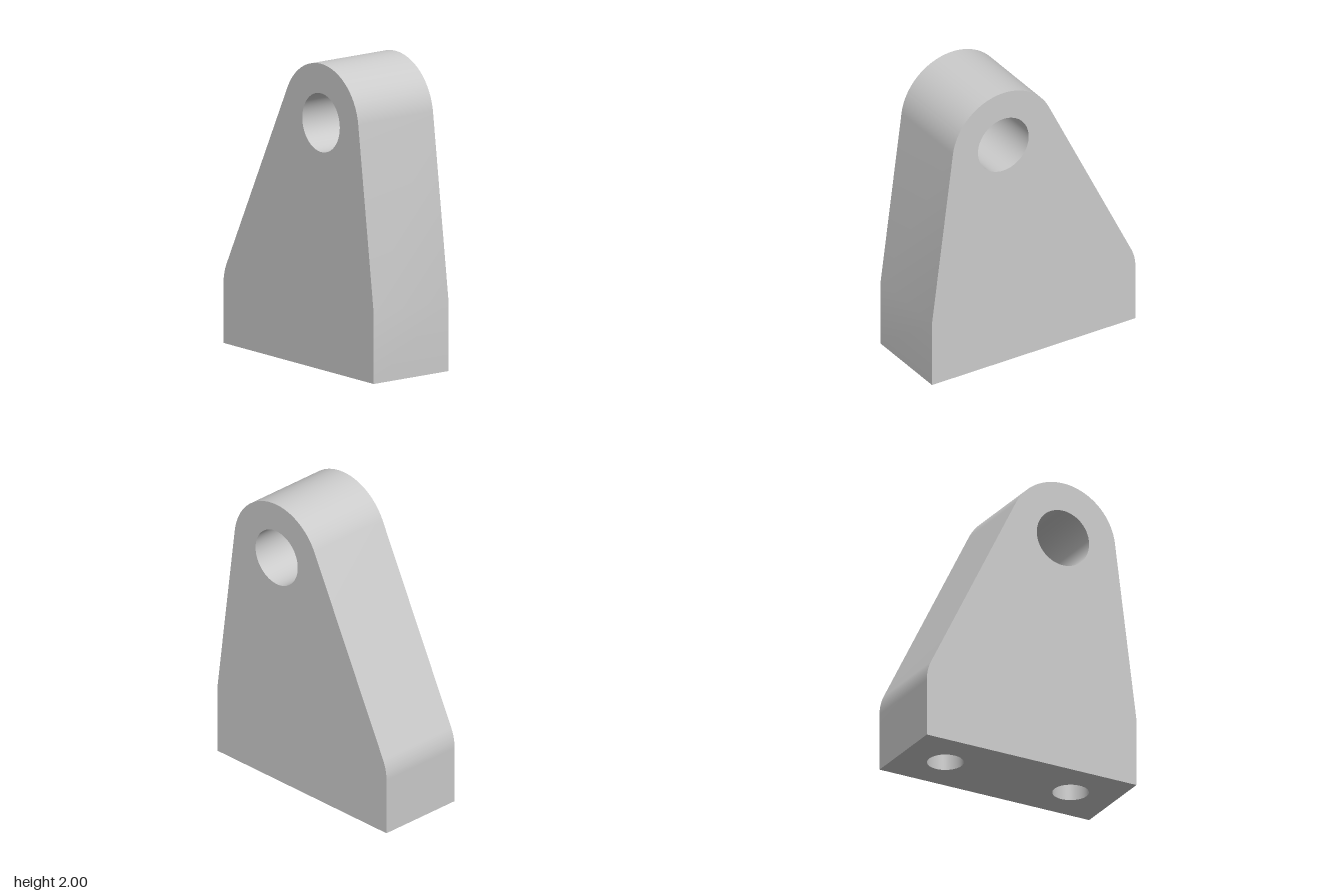
import * as THREE from 'three';
import { toCreasedNormals } from 'three/addons/utils/BufferGeometryUtils.js';

const W = 0.77, D = 0.61, SHOULDER = 0.46;      // half width, thickness, shoulder height
const BOSS = { x: 0.23, y: 1.615, r: 0.385 };   // rounded top
const BORE_R = 0.192, FILLET_R = 0.31;
const WELL = { x: 0.46, r: 0.117, depth: 0.46 }; // mounting holes in the underside

// Angle on the boss circle where the flank rising from a shoulder touches it
function tangentAngle(px, side) {
  const dx = px - BOSS.x, dy = SHOULDER - BOSS.y;
  return Math.atan2(dy, dx) + side * Math.acos(BOSS.r / Math.hypot(dx, dy));
}

// Drop the triangles lying on y = 0, so a floor with holes can replace them
function removeFloor(geometry) {
  const src = geometry.index ? geometry.toNonIndexed() : geometry;
  const p = src.attributes.position, kept = [];
  for (let i = 0; i < p.count; i += 3) {
    if (Math.max(p.getY(i), p.getY(i + 1), p.getY(i + 2)) < 1e-5) continue;
    for (let k = i; k < i + 3; k++) kept.push(p.getX(k), p.getY(k), p.getZ(k));
  }
  const out = new THREE.BufferGeometry();
  out.setAttribute('position', new THREE.Float32BufferAttribute(kept, 3));
  return out;
}

function circlePath(x, y, r) {
  return new THREE.Path().absarc(x, y, r, 0, Math.PI * 2, true);
}

export function createModel() {
  const group = new THREE.Group();
  group.name = 'bracket';
  const material = new THREE.MeshStandardMaterial({ color: 0xcccccc });
  const add = (name, geometry) => {
    const mesh = new THREE.Mesh(geometry, material);
    mesh.name = name;
    group.add(mesh);
    return mesh;
  };

  // Plate: flanks tangent to the boss, left shoulder rounded, bore through the top
  const right = tangentAngle(W, 1);
  const left = tangentAngle(-W, -1) + Math.PI * 2;
  const filletY = SHOULDER - FILLET_R * Math.tan((Math.PI - left) / 2);
  const profile = new THREE.Shape();
  profile.moveTo(-W, 0);
  profile.lineTo(W, 0);
  profile.lineTo(W, SHOULDER);
  profile.absarc(BOSS.x, BOSS.y, BOSS.r, right, left, false);
  profile.absarc(-W + FILLET_R, filletY, FILLET_R, left, Math.PI, false);
  profile.lineTo(-W, 0);
  profile.holes.push(circlePath(BOSS.x, BOSS.y, BORE_R));
  const plate = new THREE.ExtrudeGeometry(profile, { depth: D, bevelEnabled: false, curveSegments: 48 });
  plate.translate(0, 0, -D / 2);
  add('plate', toCreasedNormals(removeFloor(plate), 0.35));

  // Underside with the two hole openings
  const floor = new THREE.Shape([
    new THREE.Vector2(-W, -D / 2), new THREE.Vector2(W, -D / 2),
    new THREE.Vector2(W, D / 2), new THREE.Vector2(-W, D / 2),
  ]);
  for (const s of [-1, 1]) floor.holes.push(circlePath(s * WELL.x, 0, WELL.r));
  add('underside', new THREE.ShapeGeometry(floor, 24).rotateX(Math.PI / 2));

  // Blind mounting holes, facing inward
  const wellProfile = [[0, WELL.depth], [WELL.r, WELL.depth], [WELL.r, 0]]
    .map(([x, y]) => new THREE.Vector2(x, y));
  const well = toCreasedNormals(new THREE.LatheGeometry(wellProfile, 48), 0.6);
  add('leftMountingHole', well).position.x = WELL.x;
  add('rightMountingHole', well).position.x = -WELL.x;

  return group;
}
